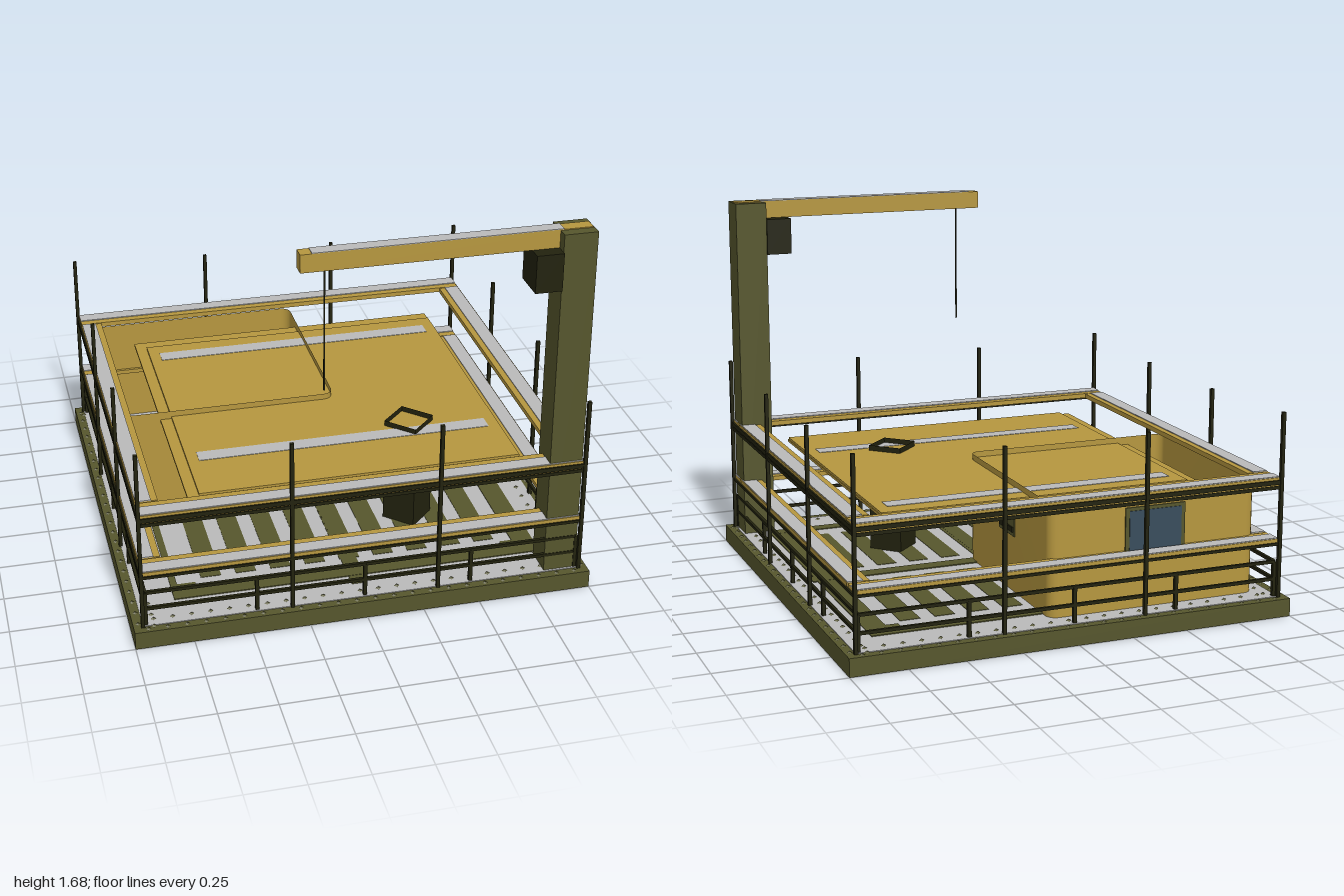
import * as THREE from 'three';

const mat = (name, color, double = false) => {
  const m = new THREE.MeshStandardMaterial({ color });
  m.name = name;
  if (double) m.side = THREE.DoubleSide;
  return m;
};

export function createModel() {
  const ochre = mat('ochre paint', 0xb6973f, true);
  const olive = mat('olive steel', 0x56562d);
  const dark = mat('dark iron', 0x22220e, true);
  const gray = mat('worn gray', 0xbababa);
  const glass = mat('blue glass', 0x394d5c);

  const model = new THREE.Group();
  const add = (parent, name, geo, m, x = 0, y = 0, z = 0) => {
    const mesh = new THREE.Mesh(geo, m);
    mesh.name = name;
    mesh.position.set(x, y, z);
    parent.add(mesh);
    return mesh;
  };
  // box given by its minimum and maximum corners
  const box = (parent, name, m, x0, x1, y0, y1, z0, z1) =>
    add(parent, name, new THREE.BoxGeometry(x1 - x0, y1 - y0, z1 - z0), m,
      (x0 + x1) / 2, (y0 + y1) / 2, (z0 + z1) / 2);
  const group = (name, parent = model) => {
    const g = new THREE.Group();
    g.name = name;
    parent.add(g);
    return g;
  };
  // repeat a builder on all four sides; it builds the +z side
  const fourSides = (name, build) => {
    for (let i = 0; i < 4; i++) {
      const g = group(name);
      g.rotation.y = i * Math.PI / 2;
      build(g, i);
    }
  };
  // open wall ring with rounded corners
  const wallRing = (hx, hz, r, y0, y1) => {
    const pos = [], index = [], steps = 4, count = 4 * (steps + 1);
    for (let i = 0; i < count; i++) {
      const corner = Math.floor(i / (steps + 1));
      const a = (corner + (i % (steps + 1)) / steps) * Math.PI / 2;
      const x = (corner === 0 || corner === 3 ? 1 : -1) * (hx - r) + r * Math.cos(a);
      const z = (corner < 2 ? 1 : -1) * (hz - r) + r * Math.sin(a);
      pos.push(x, y0, z, x, y1, z);
      const p = 2 * i, q = 2 * ((i + 1) % count);
      index.push(p, p + 1, q + 1, p, q + 1, q);
    }
    const g = new THREE.BufferGeometry();
    g.setAttribute('position', new THREE.Float32BufferAttribute(pos, 3));
    g.setIndex(index);
    g.computeVertexNormals();
    return g;
  };

  // base tray, hollow underneath, with the floor on top
  const base = group('base');
  box(base, 'deck', olive, -1, 1, 0.07, 0.08, -1, 1);
  box(base, 'floorPlate', gray, -0.96, 0.96, 0.078, 0.083, -0.96, 0.96);
  fourSides('baseSide', g => box(g, 'skirt', olive, -1, 1, 0, 0.08, 0.992, 1));

  // painted ring, cross and short bars on the floor
  const marks = group('floorMarks');
  for (const s of [-1, 1]) {
    box(marks, 'ringBar', olive, -0.8, 0.84, 0.083, 0.087, s * 0.77 - 0.03, s * 0.77 + 0.03);
    box(marks, 'ringBar', olive, s < 0 ? -0.8 : 0.745, s < 0 ? -0.77 : 0.84, 0.083, 0.0865, -0.8, 0.8);
    for (const t of [-1, 1])
      box(marks, 'ringCorner', olive, s * 0.74 - 0.05, s * 0.74 + 0.05, 0.083, 0.086, t * 0.74 - 0.05, t * 0.74 + 0.05);
  }
  box(marks, 'crossBar', olive, -0.86, 0.86, 0.083, 0.0875, -0.035, 0.035);
  box(marks, 'crossBar', olive, -0.035, 0.035, 0.083, 0.0855, -0.86, 0.86);
  for (let i = 0; i < 9; i++) {
    const x = -0.66 + i * 0.155;
    box(marks, 'stripe', olive, x, x + 0.09, 0.083, 0.085, 0.1, 0.66);
    box(marks, 'stripe', olive, x, x + 0.09, 0.083, 0.085, -0.66, -0.1);
  }

  // studs along the rim, low railing, tall poles
  const studGeo = new THREE.ConeGeometry(0.013, 0.01, 4);
  fourSides('rim', g => {
    for (let i = 0; i < 24; i++) {
      const x = -0.94 + i * 0.0815;
      add(g, 'stud', studGeo, olive, x, 0.084, 0.979);
      add(g, 'stud', studGeo, olive, x + 0.03, 0.087, 0.915);
    }
  });
  fourSides('lowRailing', g => {
    for (const y of [0.16, 0.238])
      box(g, 'rail', dark, -0.945, 0.945, y - 0.007, y + 0.007, 0.938, 0.952);
    for (const x of [-0.945, -0.47, 0, 0.47])
      box(g, 'railPost', dark, x - 0.008, x + 0.008, 0.08, 0.238, 0.937, 0.953);
  });
  fourSides('poles', g => {
    [[-0.96, 0.905], [-0.32, 0.875], [0.32, 0.875]].forEach(([x, top]) =>
      box(g, 'pole', dark, x - 0.008, x + 0.008, 0.08, top, 0.952, 0.968));
  });

  // two levels of raised walkway
  fourSides('walkway', (g, i) => {
    const end = i % 2 ? 0.845 : 0.955;
    const inner = i % 2 ? 0.86 : 0.853;
    for (const [y0, y1] of [[0.322, 0.342], [0.594, 0.616]]) {
      box(g, 'plank', ochre, -end, end, y0, y1, inner, 0.957);
      box(g, 'plankTop', gray, -end, end, y1, y1 + 0.004, 0.888, 0.953);
      box(g, 'outerRail', dark, -0.96, 0.96, y0 - 0.008, y0 + 0.004, 0.954, 0.964);
    }
    box(g, 'outerRail', dark, -0.96, 0.96, 0.597, 0.605, 0.954, 0.964);
    box(g, 'plankEdge', ochre, -0.955, 0.955, 0.579, 0.595, 0.948, 0.957);
    box(g, 'lowerBeam', dark, -0.96, 0.96, 0.565, 0.58, 0.945, 0.962);
  });

  // cabin with a window front and back and a vent on each side
  const cabin = group('cabin');
  cabin.position.set(-0.405, 0, -0.405);
  add(cabin, 'cabinWalls', wallRing(0.485, 0.462, 0.045, 0.083, 0.585), ochre);
  for (let i = 0; i < 4; i++) {
    const side = group(i % 2 ? 'vent' : 'window', cabin);
    side.rotation.y = i * Math.PI / 2;
    if (i % 2) {
      box(side, 'ventPlate', olive, -0.085, 0.085, 0.335, 0.49, 0.4855, 0.491);
      for (const y of [0.365, 0.43])
        box(side, 'ventSlot', dark, -0.075, 0.075, y - 0.011, y + 0.011, 0.489, 0.497);
    } else {
      box(side, 'windowFrame', olive, -0.14, 0.14, 0.315, 0.53, 0.4625, 0.469);
      box(side, 'windowPane', glass, -0.122, 0.122, 0.333, 0.515, 0.467, 0.472);
    }
  }

  // square open shaft set cornerwise
  add(model, 'shaft', new THREE.CylinderGeometry(0.112, 0.112, 0.5, 4, 1, true).toNonIndexed(), dark, 0.352, 0.333, 0.36)
    .geometry.computeVertexNormals();

  // two-layer roof with painted stripes
  const roof = group('roof');
  box(roof, 'roofLower', ochre, -0.72, 0.745, 0.537, 0.548, -0.72, 0.745);
  box(roof, 'roofUpper', ochre, -0.67, 0.742, 0.548, 0.558, -0.65, 0.742);
  for (const z of [-0.535, 0.437])
    box(roof, 'roofStripe', gray, -0.62, 0.69, 0.556, 0.56, z - 0.037, z + 0.037);

  // crane
  const crane = group('crane');
  box(crane, 'mast', olive, 0.805, 0.95, 0.08, 1.675, 0.81, 0.95);
  box(crane, 'boom', ochre, -0.27, 0.945, 1.6, 1.679, 0.845, 0.903);
  box(crane, 'boomTop', gray, -0.222, 0.82, 1.678, 1.682, 0.845, 0.903);
  box(crane, 'winch', dark, 0.69, 0.806, 1.432, 1.598, 0.8, 0.96);
  box(crane, 'cable', dark, -0.168, -0.162, 1.055, 1.6, 0.872, 0.878);

  return model;
}
